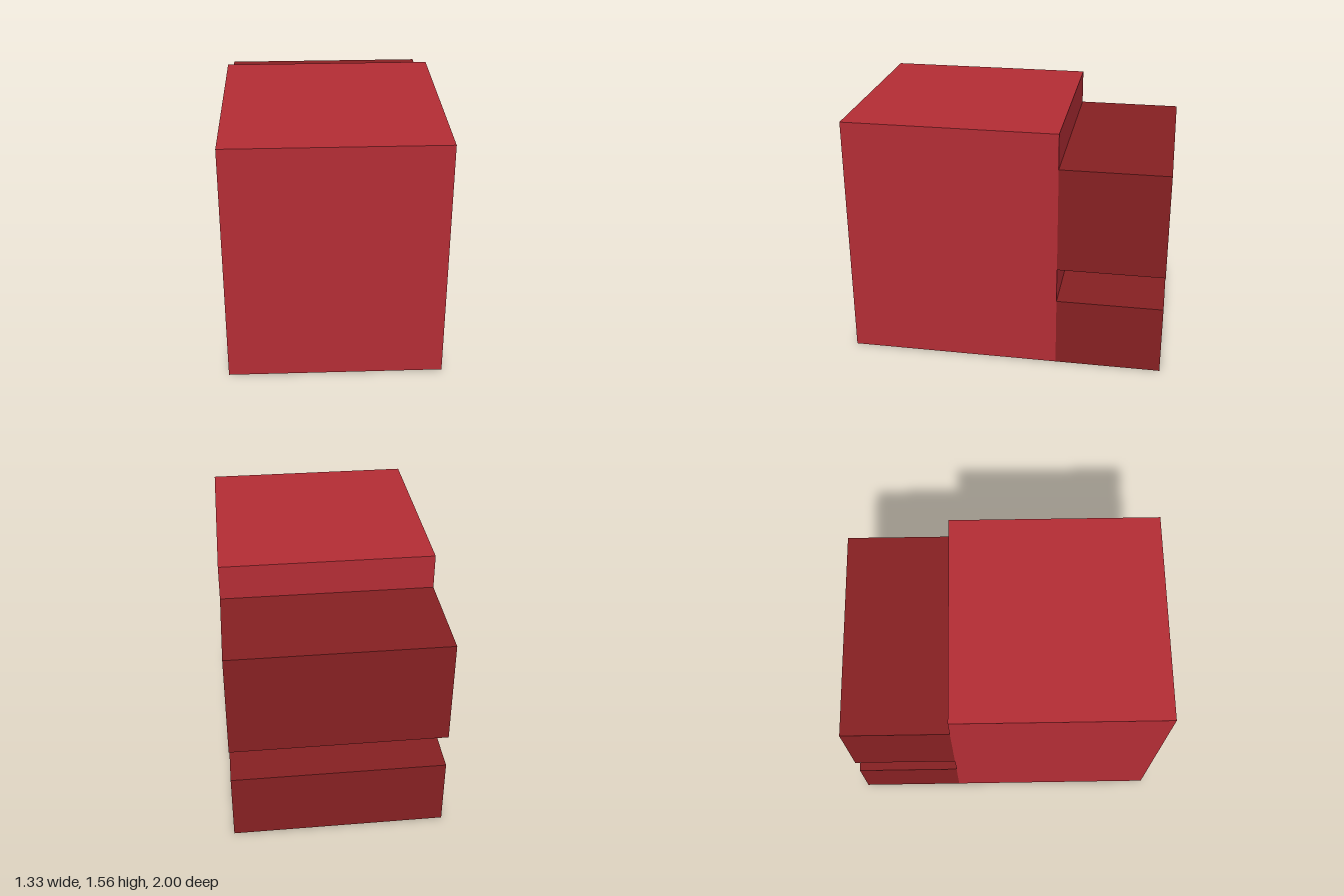
import * as THREE from 'three';

const WIDTH = 4 / 3;

export function createModel() {
  const red = new THREE.MeshStandardMaterial({ name: 'red', color: 0xb52d35 });
  const darkRed = new THREE.MeshStandardMaterial({ name: 'dark red', color: 0x872022 });
  const model = new THREE.Group();
  model.name = 'steppedBlock';

  // Full-width box spanning the given heights and depths
  function addBlock(name, material, y0, y1, z0, z1) {
    const mesh = new THREE.Mesh(new THREE.BoxGeometry(WIDTH, y1 - y0, z1 - z0), material);
    mesh.name = name;
    mesh.position.set(0, (y0 + y1) / 2, (z0 + z1) / 2);
    model.add(mesh);
  }

  // Tall front body
  addBlock('mainBody', red, 0, 14 / 9, -1 / 3, 1);
  // Two rear blocks with a gap between them
  addBlock('lowerRearBlock', darkRed, 0, 4 / 9, -1, -1 / 3);
  addBlock('upperRearBlock', darkRed, 2 / 3, 4 / 3, -1, -1 / 3);

  return model;
}
